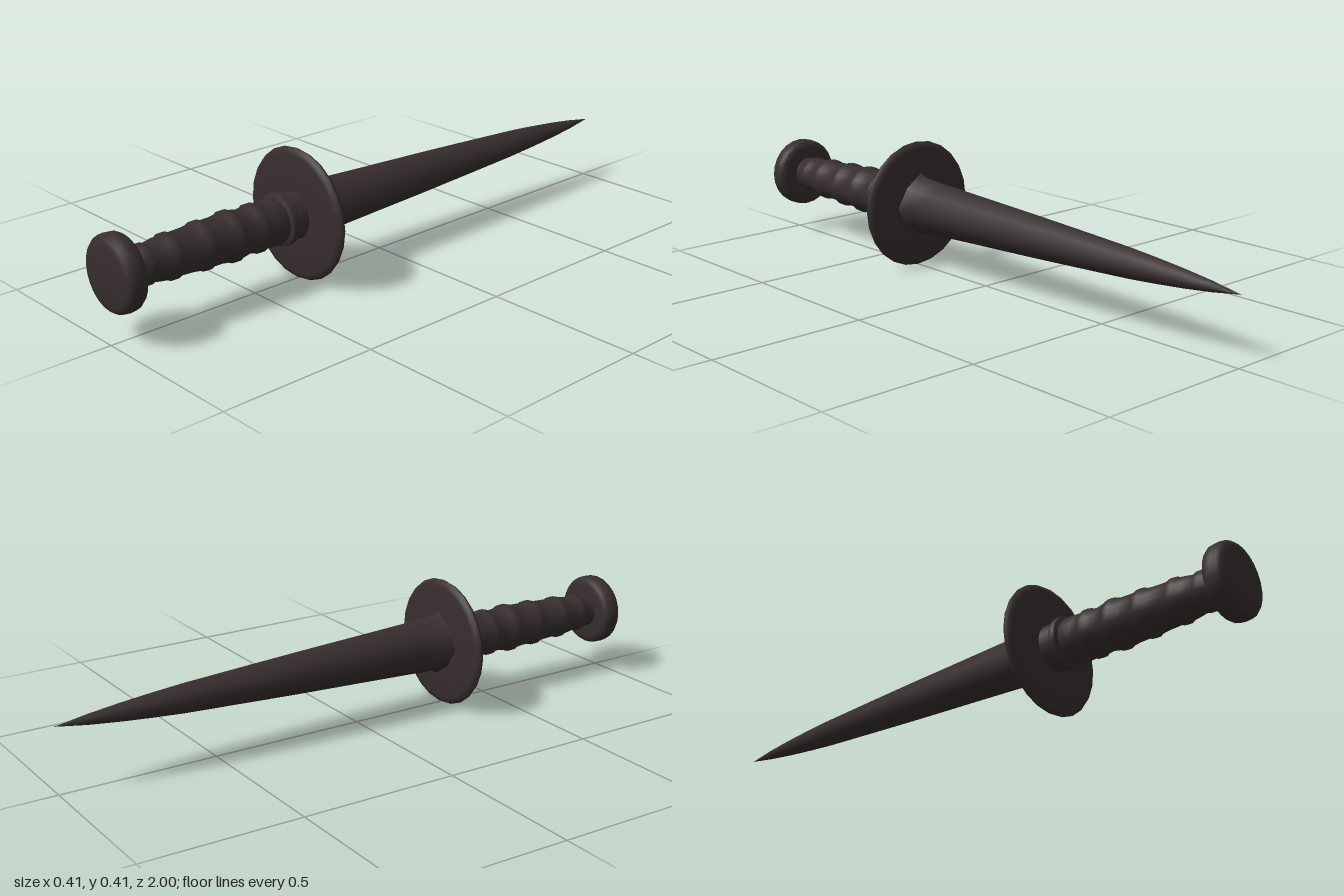
import * as THREE from 'three';
import { toCreasedNormals } from 'three/addons/utils/BufferGeometryUtils.js';

const AXIS_Y = 0.206;

export function createModel() {
  const model = new THREE.Group();
  const darkIron = new THREE.MeshStandardMaterial({ color: 0x372e2e });
  darkIron.name = 'darkIron';

  // Turned part along z from [radius, z] pairs, listed from back to front
  const turned = (pairs, sides) =>
    new THREE.LatheGeometry(pairs.map(([r, z]) => new THREE.Vector2(r, z)), sides);

  const add = (name, geometry, crease) => {
    geometry.rotateX(Math.PI / 2);
    const mesh = new THREE.Mesh(toCreasedNormals(geometry, crease), darkIron);
    mesh.name = name;
    mesh.position.y = AXIS_Y;
    model.add(mesh);
  };

  // Blade: eight-sided taper, its diagonals pulled in towards a diamond
  const blade = turned([
    [0, -1], [0.009, -0.95], [0.018, -0.9], [0.031, -0.8], [0.041, -0.7], [0.049, -0.6],
    [0.059, -0.4], [0.068, -0.2], [0.075, 0], [0.082, 0.2], [0.086, 0.29], [0.098, 0.32]
  ], 8);
  const p = blade.attributes.position;
  for (let i = 0; i < p.count; i++) {
    const x = p.getX(i), y = p.getY(i), z = p.getZ(i);
    const k = Math.abs(x * z) > 1e-7 ? 0.86 : 1;
    const tall = THREE.MathUtils.mapLinear(y, -1, 0.3, 0.9, 1.09);
    p.setXYZ(i, x * k, y, z * k * tall);
  }
  add('blade', blade, 1.3);

  // Round guard with a softened rim
  add('guard', turned([
    [0, 0.312], [0.1, 0.312], [0.185, 0.317], [0.2, 0.321], [0.206, 0.331],
    [0.2, 0.341], [0.185, 0.344], [0.1, 0.348], [0, 0.348]
  ], 24), 0.9);

  // Collar and ring between guard and grip
  add('collar', turned([
    [0.073, 0.34], [0.071, 0.385], [0.081, 0.39], [0.083, 0.4], [0.081, 0.41], [0.068, 0.415]
  ], 24), 0.8);

  // Grip: swelling segments parted by narrow raised rings
  const rings = [[0.5, 0.075], [0.59, 0.078], [0.69, 0.074], [0.8, 0.069], [0.885, 0.061]];
  const grip = [[0.066, 0.41], [0.073, 0.43], [0.071, 0.46]];
  rings.forEach(([z, r]) => {
    grip.push([r - 0.005, z - 0.018], [r, z - 0.008], [r, z + 0.008], [r - 0.005, z + 0.018]);
    grip.push([r - 0.008, z + 0.04]);
  });
  grip.push([0.054, 0.945]);
  add('grip', turned(grip, 20), 1);

  // Flat disc pommel with rounded edges
  add('pommel', turned([
    [0, 0.935], [0.09, 0.935], [0.106, 0.938], [0.113, 0.948], [0.115, 0.967],
    [0.113, 0.986], [0.105, 0.996], [0.09, 1], [0, 1]
  ], 24), 0.9);

  return model;
}
